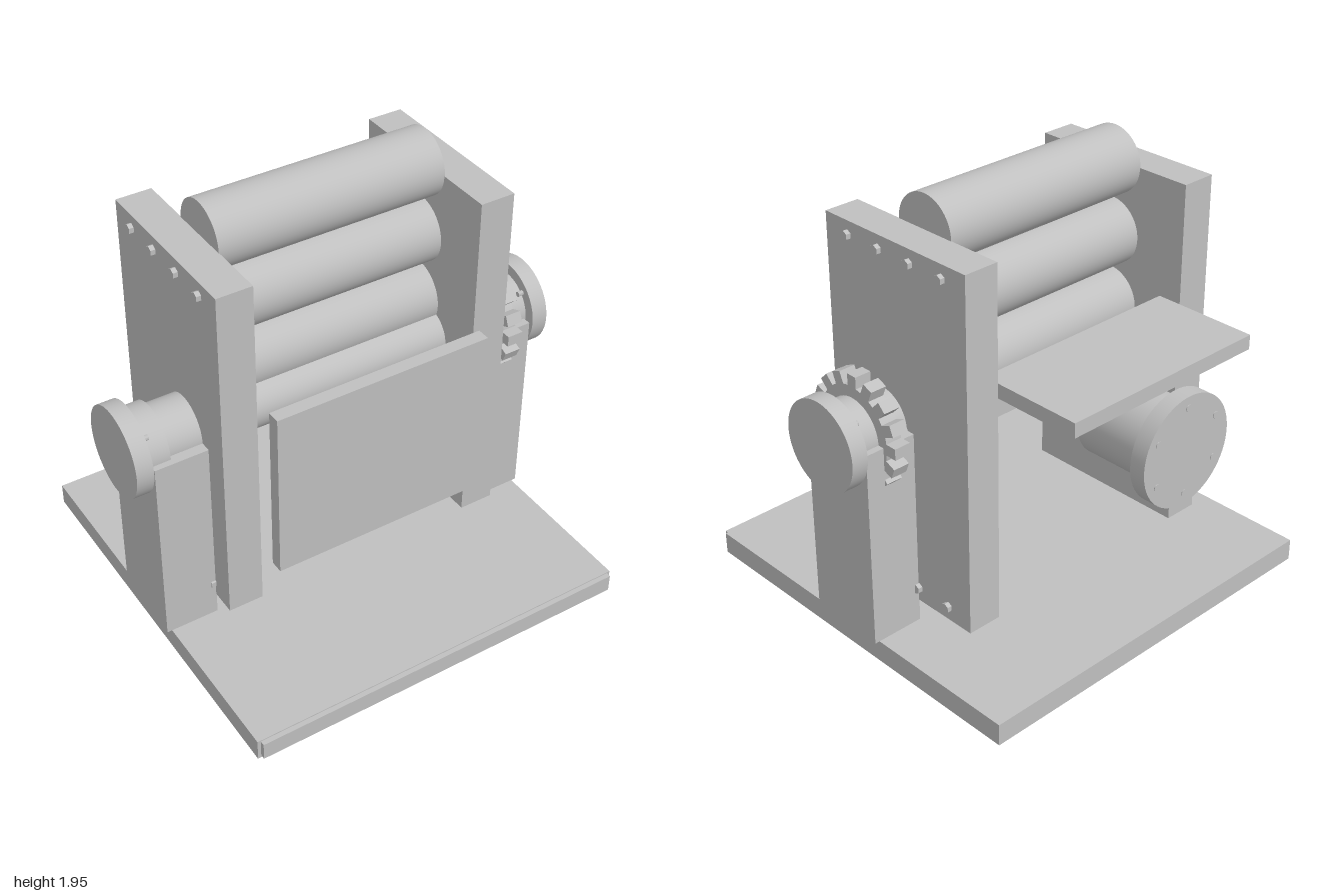
import * as THREE from 'three';
import { toCreasedNormals } from 'three/addons/utils/BufferGeometryUtils.js';

export function createModel() {
  const model = new THREE.Group();
  model.name = 'rollingMill';
  const steel = new THREE.MeshStandardMaterial({ color: 0xc0c0c0 });
  steel.name = 'steelGrey';

  const add = (name, geometry, x, y, z, parent = model) => {
    const mesh = new THREE.Mesh(geometry, steel);
    mesh.name = name;
    mesh.position.set(x, y, z);
    parent.add(mesh);
    return mesh;
  };
  // Box given by its limits on each axis
  const box = (name, [x0, x1], [y0, y1], [z0, z1]) =>
    add(name, new THREE.BoxGeometry(x1 - x0, y1 - y0, z1 - z0),
      (x0 + x1) / 2, (y0 + y1) / 2, (z0 + z1) / 2);
  // Cylinder along x or z, running from a to b
  const rod = (name, axis, r, a, b, u, y, sides = 64) => {
    let g = new THREE.CylinderGeometry(r, r, Math.abs(b - a), sides);
    if (axis === 'x') g.rotateZ(Math.PI / 2);
    else g.rotateX(Math.PI / 2);
    g = toCreasedNormals(g, 0.6);
    const mid = (a + b) / 2;
    return axis === 'x' ? add(name, g, mid, y, u) : add(name, g, u, y, mid);
  };

  // Base and its front strip
  box('base', [-0.895, 0.895], [0, 0.1], [-0.853, 0.938]);
  box('frontStrip', [-0.88, 0.88], [0.013, 0.095], [0.93, 0.96]);

  // Feed tray behind and guard plate in front
  box('feedTray', [-0.505, 0.495], [1.21, 1.275], [-0.84, -0.355]);
  box('frontGuard', [-0.503, 0.495], [0.445, 1.24], [0.412, 0.472]);

  // Three stacked rollers and the drive axle
  const rollerZ = -0.057, axleY = 1, axleZ = 0.04;
  [1.8, 1.48, 1.16].forEach((y) => rod('roller', 'x', 0.15, -0.52, 0.52, rollerZ, y));
  rod('driveAxle', 'x', 0.12, -0.52, 0.52, axleZ, axleY);

  for (const s of [-1, 1]) {
    const side = s > 0 ? 'left' : 'right';
    const span = (a, b) => (s > 0 ? [a, b] : [-b, -a]);

    // Side frame with two rows of hexagonal bolts
    box(side + 'Frame', span(0.518, 0.677), [0.2, 1.8], [-0.455, 0.345]);
    for (const y of [0.265, 1.74]) {
      for (let i = 0; i < 4; i++) {
        rod('frameBolt', 'x', 0.022, s * 0.66, s * 0.698, 0.216 - i * 0.18, y, 6)
          .rotation.x = Math.PI / 2;
      }
    }

    // Pedestal, shaft, hub and end disc
    box(side + 'Pedestal', span(0.675, 0.917), [0.1, 1], [-0.14, 0.228]);
    rod(side + 'Shaft', 'x', 0.14, s * 0.67, s * 0.84, axleZ, axleY);
    rod(side + 'Hub', 'x', s > 0 ? 0.15 : 0.16, s * 0.83, s * 0.93, axleZ, axleY);
    rod(side + 'EndDisc', 'x', 0.2, s * 0.925, s, axleZ, axleY);
    for (let i = 0; i < 4; i++) {
      const a = Math.PI * (0.25 + i * 0.5);
      rod('discBolt', 'x', 0.012, s * 0.9, s * 0.93,
        axleZ + 0.16 * Math.cos(a), axleY + 0.16 * Math.sin(a), 12);
    }
  }

  // Gear on the left shaft
  const gear = new THREE.Group();
  gear.name = 'gear';
  gear.position.set(0.793, axleY, axleZ);
  model.add(gear);
  const disc = new THREE.CylinderGeometry(0.2, 0.2, 0.075, 64).rotateZ(Math.PI / 2);
  add('gearDisc', toCreasedNormals(disc, 0.6), 0, 0, 0, gear);
  const toothShape = new THREE.BoxGeometry(0.075, 0.052, 0.05);
  for (let i = 0; i < 16; i++) {
    const a = (i / 16) * Math.PI * 2;
    add('gearTooth', toothShape, 0, 0.224 * Math.cos(a), 0.224 * Math.sin(a), gear).rotation.x = a;
  }

  // Rear motor with bolted flange
  rod('motorBody', 'z', 0.175, -0.55, -0.9, 0, 1);
  rod('motorFlange', 'z', 0.241, -0.89, -0.961, 0, 1);
  for (let i = 0; i < 6; i++) {
    const a = Math.PI / 6 + (i * Math.PI) / 3;
    rod('flangeBolt', 'z', 0.015, -0.885, -0.964, 0.19 * Math.cos(a), 1 + 0.19 * Math.sin(a), 12);
  }

  return model;
}
